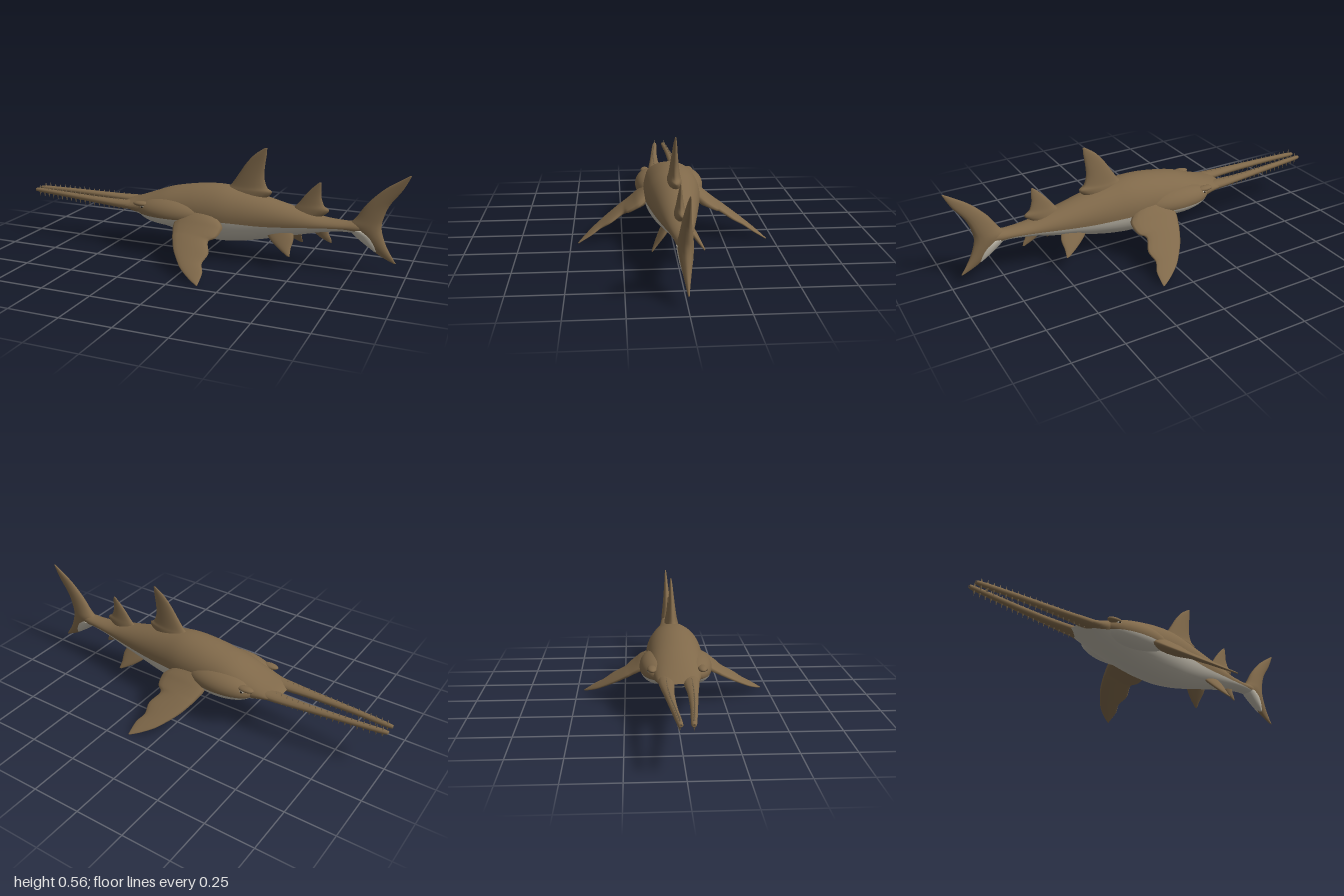
import * as THREE from 'three';

const mat = (name, color) => Object.assign(new THREE.MeshStandardMaterial({ color }), { name });

// Catmull-Rom interpolation of numeric rows
function smooth(rows, steps) {
  const out = [], at = i => rows[Math.min(rows.length - 1, Math.max(0, i))];
  for (let i = 0; i < rows.length - 1; i++) {
    for (let k = 0; k < steps; k++) {
      const t = k / steps;
      out.push(at(i).map((b, c) => {
        const a = at(i - 1)[c], d = at(i + 1)[c], e = at(i + 2)[c];
        return b + 0.5 * t * (d - a + t * (2 * a - 5 * b + 4 * d - e + t * (3 * (b - d) + e - a)));
      }));
    }
  }
  out.push(at(rows.length - 1));
  return out;
}

// Skin a list of rings of points
function loft(rings, closed) {
  const n = rings[0].length, pos = rings.flat(2), index = [];
  for (let i = 0; i < rings.length - 1; i++) {
    for (let j = 0; j < (closed ? n : n - 1); j++) {
      const k = (j + 1) % n, a = i * n, b = a + n;
      index.push(a + j, b + j, b + k, a + j, b + k, a + k);
    }
  }
  const g = new THREE.BufferGeometry();
  g.setAttribute('position', new THREE.Float32BufferAttribute(pos, 3));
  g.setIndex(index);
  g.computeVertexNormals();
  return g;
}

// Lens-section fin: rows are [span, leading x, trailing x, half thickness]
function finGeometry(rows, y0, z0, sy, sz) {
  const len = Math.hypot(sy, sz), N = 16;
  sy /= len; sz /= len;
  const ring = ([s, lead, trail, t], k = 1) => Array.from({ length: N }, (_, j) => {
    const b = j / N * Math.PI * 2, w = t * Math.sin(b) * k;
    return [(lead + trail) / 2 + k * (trail - lead) / 2 * Math.cos(b), y0 + sy * s - sz * w, z0 + sz * s + sy * w];
  });
  const r = smooth(rows, 4);
  return loft([ring(r[0], 0), ...r.map(q => ring(q)), ring(r[r.length - 1], 0)], true);
}

export function createModel() {
  const model = new THREE.Group();
  model.name = 'sawfish';
  const brown = mat('brown skin', 0x80694a);
  const pale = mat('pale belly', 0xbcb6a8);
  const toothMat = mat('tooth', 0x76654c);
  const dark = mat('dark pupil', 0x2c251c);
  const add = (name, geo, m, parent = model) => {
    const mesh = new THREE.Mesh(geo, m);
    mesh.name = name;
    parent.add(mesh);
    return mesh;
  };

  // Body: [x, top, bottom, half width, height of the belly colour line]
  const body = smooth([
    [-0.46, 0.225, 0.215, 0.06, 0.216], [-0.43, 0.242, 0.2, 0.09, 0.203],
    [-0.37, 0.262, 0.18, 0.104, 0.2], [-0.3, 0.288, 0.155, 0.118, 0.205],
    [-0.2, 0.325, 0.125, 0.132, 0.203], [-0.1, 0.347, 0.1, 0.138, 0.203],
    [0, 0.361, 0.085, 0.14, 0.205], [0.1, 0.363, 0.08, 0.136, 0.207],
    [0.2, 0.347, 0.09, 0.122, 0.204], [0.3, 0.326, 0.11, 0.106, 0.2],
    [0.4, 0.302, 0.135, 0.09, 0.202], [0.5, 0.278, 0.158, 0.073, 0.207],
    [0.6, 0.255, 0.182, 0.055, 0.212], [0.7, 0.248, 0.195, 0.042, 0.215],
    [0.77, 0.25, 0.195, 0.035, 0.21], [0.86, 0.235, 0.215, 0.01, 0.217]], 4);
  const skin = upper => loft(body.map(([x, top, bottom, w, line]) => {
    const cy = (top + bottom) / 2, h = (top - bottom) / 2;
    const a = Math.asin(THREE.MathUtils.clamp((line - cy) / h, -0.98, 0.98));
    const from = upper ? a : Math.PI - a, to = upper ? Math.PI - a : Math.PI * 2 + a;
    return Array.from({ length: 25 }, (_, j) => {
      const b = from + (to - from) * j / 24;
      return [x, cy + h * Math.sin(b), w * Math.cos(b)];
    });
  }), false);
  add('back', skin(true), brown);
  add('belly', skin(false), pale);

  // Median fins
  add('firstDorsalFin', finGeometry([
    [0.29, 0.06, 0.28, 0.04], [0.345, 0.1, 0.34, 0.033], [0.37, 0.13, 0.315, 0.027],
    [0.42, 0.165, 0.3, 0.02], [0.48, 0.205, 0.303, 0.013], [0.53, 0.25, 0.31, 0.008],
    [0.565, 0.3, 0.312, 0.003]], 0, 0, 1, 0), brown);
  add('secondDorsalFin', finGeometry([
    [0.23, 0.42, 0.55, 0.03], [0.282, 0.45, 0.625, 0.024], [0.31, 0.475, 0.6, 0.018],
    [0.35, 0.505, 0.586, 0.012], [0.39, 0.54, 0.585, 0.007], [0.42, 0.572, 0.582, 0.003]], 0, 0, 1, 0), brown);
  add('tailFin', finGeometry([
    [0.065, 0.94, 0.952, 0.003], [0.095, 0.875, 0.932, 0.01], [0.14, 0.81, 0.905, 0.02],
    [0.19, 0.75, 0.885, 0.03], [0.23, 0.72, 0.876, 0.034], [0.27, 0.755, 0.88, 0.029],
    [0.34, 0.802, 0.905, 0.02], [0.41, 0.87, 0.955, 0.012], [0.45, 0.925, 0.978, 0.008],
    [0.49, 0.988, 0.997, 0.003]], 0, 0, 1, 0), brown);
  add('tailPalePatch', finGeometry([
    [0.115, 0.845, 0.865, 0.014], [0.15, 0.793, 0.865, 0.026], [0.19, 0.742, 0.85, 0.034],
    [0.215, 0.725, 0.81, 0.036]], 0, 0, 1, 0), pale);
  add('analFin', finGeometry([
    [0, 0.52, 0.62, 0.015], [0.03, 0.56, 0.63, 0.01], [0.05, 0.59, 0.64, 0.007],
    [0.07, 0.633, 0.645, 0.003]], 0.2, 0, -1, 0), brown);

  const cone = new THREE.ConeGeometry(1, 1, 6);
  const ball = new THREE.SphereGeometry(1, 24, 16);
  const split = Math.acos(-0.23);
  for (const s of [1, -1]) {
    const side = new THREE.Group();
    side.name = s > 0 ? 'frontFacingSide' : 'rearFacingSide';
    model.add(side);

    // Paired fins
    add('pectoralFin', finGeometry([
      [0, -0.12, 0.08, 0.034], [0.06, -0.11, 0.14, 0.03], [0.1, -0.105, 0.146, 0.023],
      [0.14, -0.092, 0.135, 0.018], [0.17, -0.082, 0.105, 0.016], [0.24, -0.05, 0.132, 0.013],
      [0.3, -0.01, 0.12, 0.01], [0.35, 0.03, 0.14, 0.008], [0.4, 0.09, 0.143, 0.005],
      [0.429, 0.135, 0.142, 0.003]], 0.23, s * 0.1, -0.225, s * 0.365), brown, side);
    add('pelvicFin', finGeometry([
      [0, 0.33, 0.46, 0.018], [0.05, 0.345, 0.475, 0.014], [0.1, 0.4, 0.47, 0.009],
      [0.14, 0.46, 0.472, 0.003]], 0.19, s * 0.04, -0.115, s * 0.08), brown, side);

    // Gill bulge, brown above and pale below
    const parts = [['gillBulge', 0, split, brown], ['gillBulgeUnderside', split, Math.PI - split, pale]];
    for (const [name, from, length, m] of parts) {
      const g = add(name, new THREE.SphereGeometry(1, 32, 14, 0, Math.PI * 2, from, length), m, side);
      g.position.set(-0.15, 0.22, s * 0.09);
      g.scale.set(0.19, 0.068, 0.085);
    }

    // Eye under a heavy brow
    const blobs = [['brow', -0.31, 0.252, 0.118, 0.045, 0.013, 0.022, brown],
      ['eye', -0.295, 0.24, 0.13, 0.014, 0.01, 0.01, pale],
      ['pupil', -0.297, 0.24, 0.137, 0.006, 0.006, 0.005, dark]];
    for (const [name, x, y, z, a, b, c, m] of blobs) {
      const e = add(name, ball, m, side);
      e.position.set(x, y, s * z);
      e.scale.set(a, b, c);
    }

    // Saw prong: [x, centre y, centre z, half height, half width]
    const saw = smooth([
      [-1, 0.236, 0.026, 0.003, 0.004], [-0.98, 0.235, 0.027, 0.011, 0.012],
      [-0.8, 0.231, 0.041, 0.014, 0.016], [-0.6, 0.225, 0.052, 0.017, 0.024],
      [-0.46, 0.222, 0.056, 0.021, 0.035], [-0.36, 0.222, 0.056, 0.025, 0.04]], 4);
    add('sawProng', loft(saw.map(([x, y, z, h, w]) => Array.from({ length: 14 }, (_, j) => {
      const b = j / 14 * Math.PI * 2;
      return [x, y + h * Math.sin(b), s * z + w * Math.cos(b)];
    })), true), brown, side);

    // Teeth along the lower and upper edges
    for (let i = 0; i < 19; i++) {
      const t = i / 18, x = -0.975 + 0.53 * t;
      const y = 0.235 - 0.013 * t, z = s * (0.028 + 0.03 * Math.sin(t * Math.PI / 2));
      for (const up of [1, -1]) {
        const reach = up > 0 ? 0.03 : 0.035 + 0.006 * t;
        const tooth = add('tooth', cone, toothMat, side);
        tooth.scale.set(0.007, reach, 0.007);
        tooth.position.set(x, y + up * reach / 2, z);
        if (up < 0) tooth.rotation.x = Math.PI;
      }
    }
  }
  return model;
}
